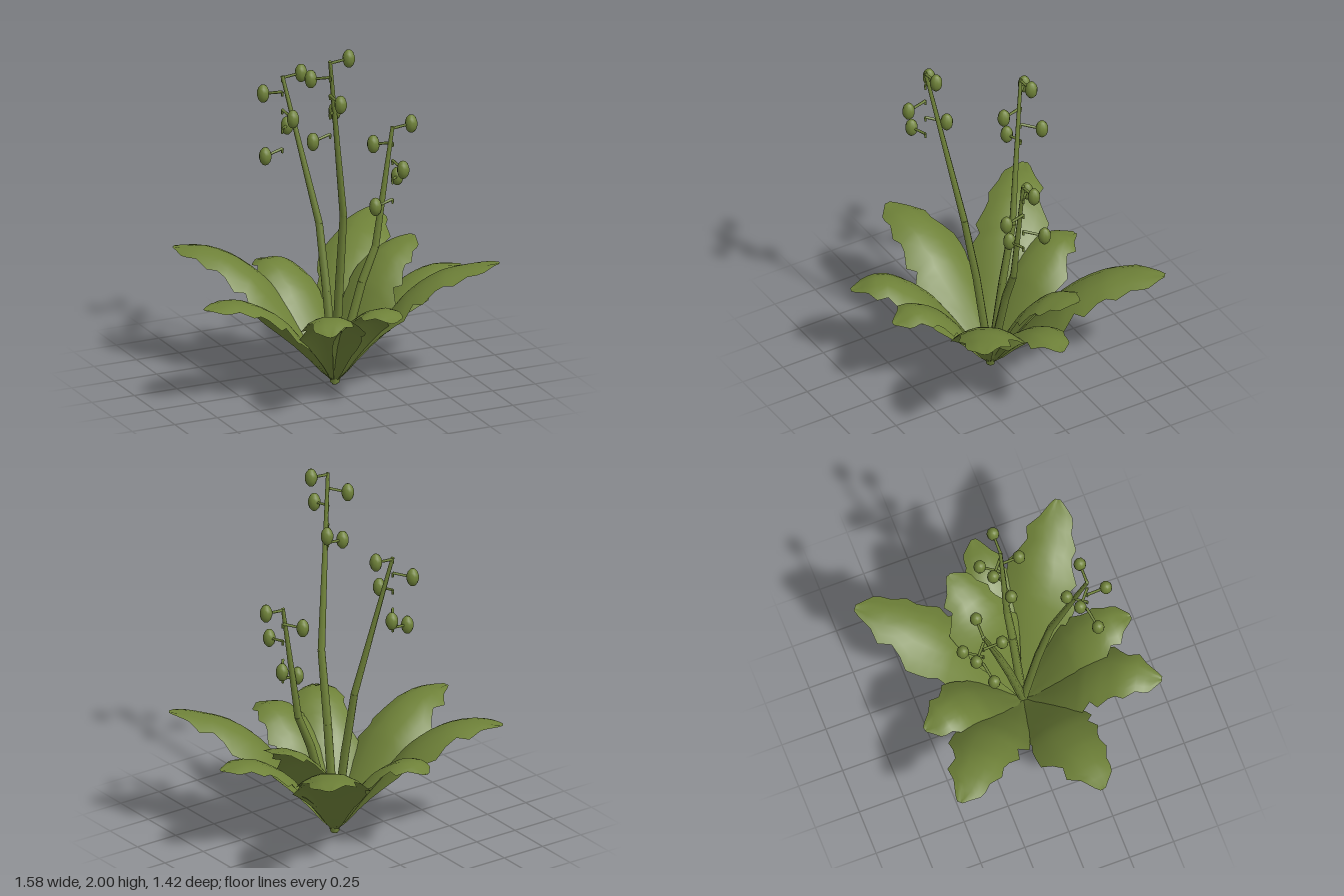
import * as THREE from 'three';

const BASE = new THREE.Vector3(0.04, 0.01, 0.04);

// Scalloped half-widths along a leaf: [t, left, right] as fractions of its full half-width
const OUTLINE = [
  [0, 0.05, 0.05], [0.08, 0.2, 0.2], [0.15, 0.36, 0.36], [0.23, 0.54, 0.53], [0.3, 0.72, 0.7],
  [0.4, 0.93, 0.86], [0.45, 1, 0.84], [0.5, 0.76, 0.94], [0.56, 0.92, 0.98], [0.63, 0.74, 1],
  [0.68, 0.68, 0.78], [0.74, 0.74, 0.6], [0.82, 0.54, 0.68], [0.88, 0.52, 0.4], [0.92, 0.46, 0.3],
  [0.97, 0.22, 0.18], [1, 0.08, 0.08],
];

// tip x, tip z, crown height (at 80%), tip height, half-width
const LEAVES = [
  [-0.62, -0.57, 0.69, 0.68, 0.2],
  [0.61, -0.7, 0.665, 0.67, 0.21],
  [-0.79, 0.18, 0.605, 0.59, 0.2],
  [-0.3, 0.7, 0.585, 0.53, 0.18],
  [0.09, 0.67, 0.58, 0.54, 0.18],
  [0.78, 0.52, 0.7, 0.725, 0.2],
  [0.785, 0.04, 0.575, 0.56, 0.17],
  [0.6, -0.17, 0.67, 0.69, 0.19],
  [-0.12, -0.58, 0.57, 0.53, 0.18],
];

// Blade with a midrib that climbs and then levels out, and edges that curl down
function leafGeometry([tx, tz, crown, tip, width], flip) {
  const dx = tx - BASE.x, dz = tz - BASE.z, len = Math.hypot(dx, dz);
  const px = -dz / len, pz = dx / len;
  // Evenly spaced knots, so the curve parameter equals the distance along the leaf
  const spine = new THREE.SplineCurve(
    [0.01, crown * 0.36, crown * 0.71, crown * 0.915, crown, tip].map((y, i) => new THREE.Vector2(i / 5, y)),
  );
  const across = [-1, -0.67, -0.33, 0, 0.33, 0.67, 1];
  const n = across.length, pos = [], index = [];
  OUTLINE.forEach(([t, a, b], i) => {
    const y = spine.getPoint(t).y;
    across.forEach((s, j) => {
      const w = s * width * ((s < 0) !== flip ? a : b);
      const curl = (0.5 * w * w) / width + (s === 0 ? 0.005 : 0);
      pos.push(BASE.x + dx * t + px * w, y - curl, BASE.z + dz * t + pz * w);
      if (i && j) {
        const d = i * n + j, c = d - 1, q = d - n, p = q - 1;
        index.push(p, c, q, q, c, d);
      }
    });
  });
  const g = new THREE.BufferGeometry();
  g.setAttribute('position', new THREE.Float32BufferAttribute(pos, 3));
  g.setIndex(index);
  g.computeVertexNormals();
  return g;
}

// Each stem is a bent path from the root to its tip
const STEMS = [
  [[0.03, 0.6, 0.12], [0.02, 1.0, 0.19], [-0.13, 1.945, 0.34]],
  [[0.03, 0.5, -0.04], [0.02, 0.86, -0.11], [-0.13, 1.67, -0.25]],
  [[0.2, 0.55, 0.04], [0.28, 0.74, 0.04], [0.38, 1.4, 0.04]],
];

// Flower buds relative to a stem tip
const BUDS = [
  [0.11, 0, 0], [-0.08, -0.11, -0.07], [0.01, -0.21, 0.11], [0.07, -0.32, -0.09], [-0.11, -0.43, 0.02],
];

function rod(from, to, r0, r1, material) {
  const dir = to.clone().sub(from);
  const mesh = new THREE.Mesh(new THREE.CylinderGeometry(r1, r0, dir.length(), 6), material);
  mesh.position.copy(from).addScaledVector(dir, 0.5);
  mesh.quaternion.setFromUnitVectors(new THREE.Vector3(0, 1, 0), dir.normalize());
  return mesh;
}

export function createModel() {
  const green = new THREE.MeshStandardMaterial({ color: 0x6f8239, side: THREE.DoubleSide });
  green.name = 'leaf green';
  const model = new THREE.Group();
  model.name = 'plant';

  // Rosette of leaves
  LEAVES.forEach((spec, i) => {
    const leaf = new THREE.Mesh(leafGeometry(spec, i % 2 === 1), green);
    leaf.name = 'leaf' + (i + 1);
    model.add(leaf);
  });

  // Flower stalks
  const budShape = new THREE.SphereGeometry(1, 10, 7);
  STEMS.forEach((path, k) => {
    const stalk = new THREE.Group();
    stalk.name = 'flowerStalk' + (k + 1);
    const points = [BASE, ...path.map((p) => new THREE.Vector3(...p))];
    const radii = [0.024, 0.023, 0.02, 0.01];
    for (let i = 1; i < points.length; i++) {
      const part = rod(points[i - 1], points[i], radii[i - 1], radii[i], green);
      part.name = 'stem';
      stalk.add(part);
    }
    const tip = points[points.length - 1];
    BUDS.forEach((o, i) => {
      const centre = tip.clone().add(new THREE.Vector3(...o));
      const start = new THREE.Vector3(tip.x, centre.y + (i ? 0.02 : -0.01), tip.z);
      const pedicel = rod(start, centre, 0.008, 0.007, green);
      pedicel.name = 'pedicel';
      const hook = rod(start.clone().setY(start.y - 0.025), start, 0.006, 0.008, green);
      hook.name = 'pedicelHook';
      const bud = new THREE.Mesh(budShape, green);
      bud.name = 'flowerBud';
      bud.scale.set(0.034, 0.051, 0.034);
      bud.position.copy(centre);
      stalk.add(pedicel, hook, bud);
    });
    model.add(stalk);
  });

  // Root knot
  const root = new THREE.Mesh(new THREE.CylinderGeometry(0.024, 0.015, 0.035, 8), green);
  root.name = 'root';
  root.position.set(BASE.x, 0.0175, BASE.z);
  model.add(root);
  return model;
}
